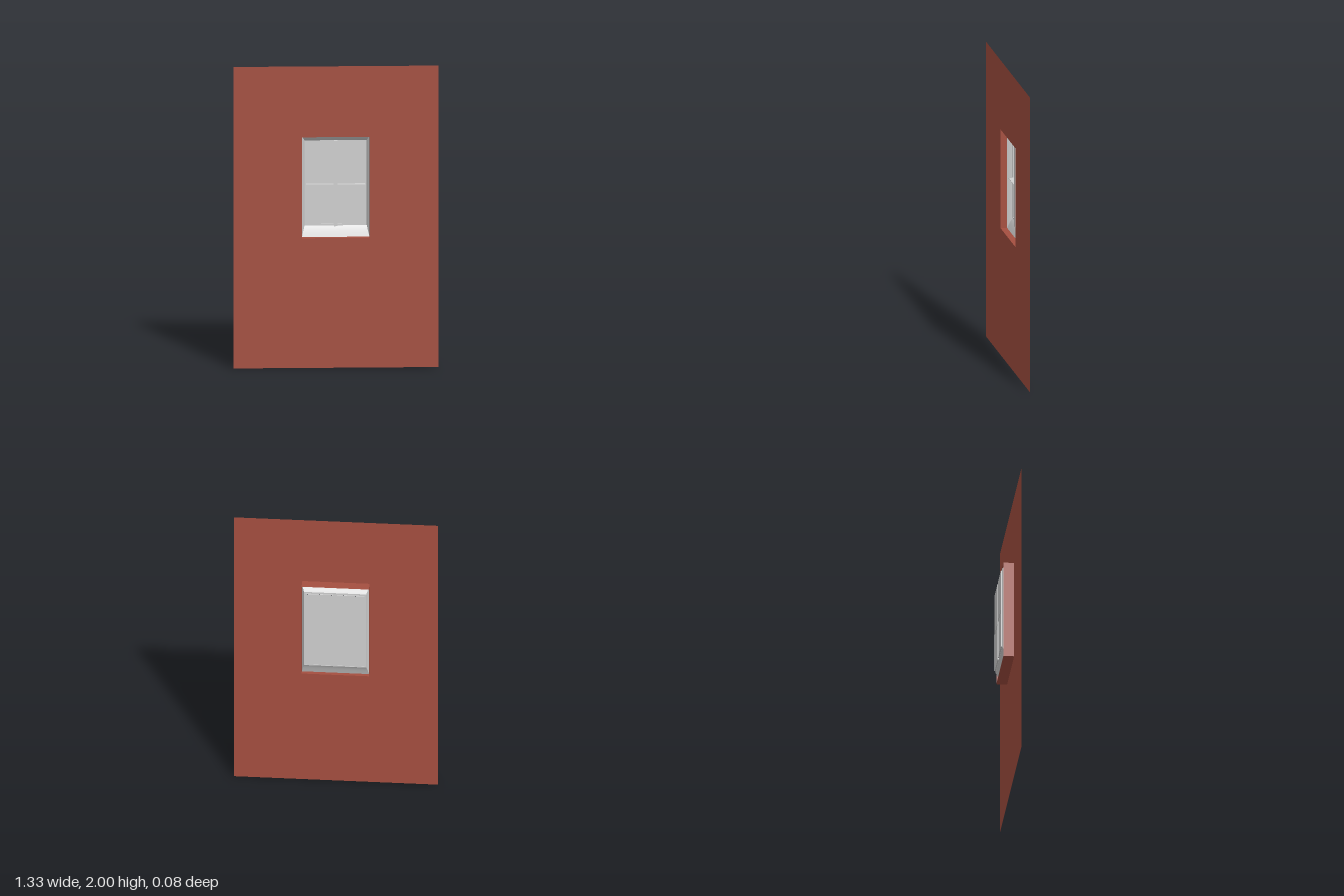
import * as THREE from 'three';

const brick = new THREE.MeshStandardMaterial({ color: 0xa54f40, side: THREE.DoubleSide });
brick.name = 'brickRed';
const paint = new THREE.MeshStandardMaterial({ color: 0xd0d0d0, side: THREE.DoubleSide });
paint.name = 'paleGrey';

// Lofts rectangular rings [left, right, bottom, top, z]; smooth along the depth, sharp at the mitres
function rectLoft(rings) {
  const pos = [], idx = [];
  for (let side = 0; side < 4; side++) {
    const base = pos.length / 3;
    rings.forEach(([l, r, b, t, z], i) => {
      const c = [[l, b], [r, b], [r, t], [l, t]];
      pos.push(...c[side], z, ...c[(side + 1) % 4], z);
      if (i > 0) {
        const a = base + 2 * (i - 1);
        idx.push(a, a + 1, a + 3, a, a + 3, a + 2);
      }
    });
  }
  const g = new THREE.BufferGeometry();
  g.setAttribute('position', new THREE.Float32BufferAttribute(pos, 3));
  g.setIndex(idx);
  g.computeVertexNormals();
  return g;
}

// Flat panel with rectangular holes [left, right, bottom, top]
function panel([l, r, b, t], holes, z) {
  const outline = (C, [x0, x1, y0, y1]) => {
    const s = new C();
    s.moveTo(x0, y0);
    s.lineTo(x1, y0);
    s.lineTo(x1, y1);
    s.lineTo(x0, y1);
    s.closePath();
    return s;
  };
  const shape = outline(THREE.Shape, [l, r, b, t]);
  holes.forEach(h => shape.holes.push(outline(THREE.Path, h)));
  return new THREE.ShapeGeometry(shape).translate(0, 0, z);
}

export function createModel() {
  const model = new THREE.Group();
  model.name = 'wallWithWindow';
  const add = (name, geometry, material) => {
    const m = new THREE.Mesh(geometry, material);
    m.name = name;
    model.add(m);
    return m;
  };
  const box = (name, w, h, d, x, y, z) =>
    add(name, new THREE.BoxGeometry(w, h, d).translate(x, y, z), paint);

  // Wall sheet and the brick reveal around the opening
  const opening = [-0.22, 0.22, 0.86, 1.53];
  const front = 0.042, back = -0.028;
  add('wall', panel([-0.667, 0.667, 0, 2], [opening], front), brick);
  add('reveal', rectLoft([[...opening, front], [...opening, back]]), brick);

  // Curved casing and sill, steepening from the reveal back to the sashes
  const rings = [];
  for (let i = 0; i <= 6; i++) {
    const a = (i / 6) * Math.PI / 2 * 0.85;
    const k = Math.sin(a) / Math.sin(Math.PI / 2 * 0.85);
    const u = i / 6;
    const inset = 0.45 * u + 0.55 * k;
    rings.push([-0.22 + 0.017 * inset, 0.22 - 0.017 * inset,
      0.86 + 0.07 * inset, 1.53 - 0.035 * inset, -0.001 - 0.033 * u]);
  }
  add('casing', rectLoft(rings), paint);

  // Sash sheet with a pocket for each pane
  const sash = [-0.203, 0.203, 0.93, 1.495], sashZ = -0.034, mid = 1.205;
  const pockets = [-1, 1].map(s => [s * 0.103 - 0.09, s * 0.103 + 0.09, 0.94, 1.483]);
  add('sash', panel(sash, pockets, sashZ), paint);
  pockets.forEach(p => {
    const [l, r, b, t] = p;
    add('paneRim', rectLoft([[...p, sashZ], [...p, -0.0415]]), paint);
    add('upperPane', panel([l, r, mid, t], [], -0.042), paint);
    add('lowerPane', panel([l, r, b, mid], [], -0.039), paint);
    // Thin crossbar dividing upper and lower panes
    box('crossbar', r - l, 0.003, 0.037, (l + r) / 2, mid, -0.0235);
  });

  // Upright between the panes
  box('mullion', 0.022, 0.565, 0.032, 0, 1.2125, -0.018);
  return model;
}
